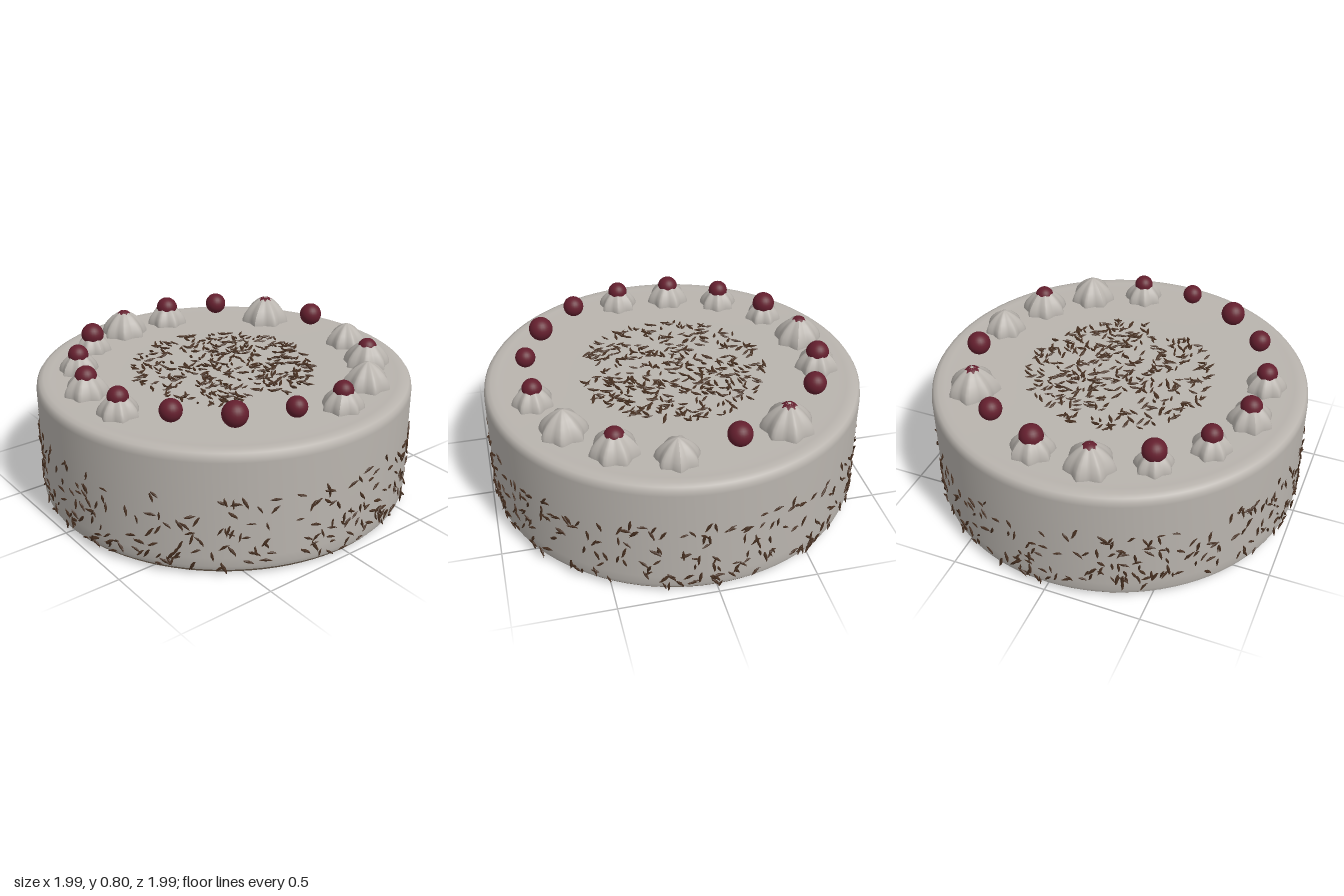
import * as THREE from 'three';
import { mergeGeometries } from 'three/addons/utils/BufferGeometryUtils.js';

const material = (name, color) => {
  const m = new THREE.MeshStandardMaterial({ color });
  m.name = name;
  return m;
};

// small seeded generator
function seeded(seed) {
  return () => {
    seed = (seed * 1664525 + 1013904223) % 4294967296;
    return seed / 4294967296;
  };
}

const lathe = (pts, segments) =>
  new THREE.LatheGeometry(pts.map(([x, y]) => new THREE.Vector2(x, y)), segments);

// seven-ridged piped dollop of unit radius and unit height
function dollopGeometry() {
  const g = lathe([[1, -0.02], [0.99, 0.12], [0.9, 0.34], [0.72, 0.56], [0.5, 0.76], [0.28, 0.9], [0.12, 0.97], [0, 1]], 56);
  const p = g.attributes.position;
  for (let i = 0; i < p.count; i++) {
    const turn = (Math.atan2(p.getX(i), p.getZ(i)) / (2 * Math.PI) + 1) * 7;
    const ridge = Math.abs((turn % 1) - 0.5) * 2;
    const f = 1 - 0.19 * (1 - 0.3 * p.getY(i)) * (1 - Math.pow(ridge, 1.3));
    p.setXYZ(i, p.getX(i) * f, p.getY(i), p.getZ(i) * f);
  }
  g.computeVertexNormals();
  return g;
}

// thin curled chocolate shaving lying along x, its face toward z
function flakeGeometry() {
  const g = new THREE.OctahedronGeometry(1, 1);
  const p = g.attributes.position;
  for (let i = 0; i < p.count; i++) {
    const x = p.getX(i);
    const taper = 1 - 0.5 * x * x;
    p.setXYZ(i, x * 0.03, p.getY(i) * 0.008 * taper + 0.004 * Math.sin(3 * x), p.getZ(i) * 0.006 * taper + 0.004 * x * x);
  }
  g.computeVertexNormals();
  return g;
}

export function createModel() {
  const cake = new THREE.Group();
  cake.name = 'cake';
  const cream = material('cream', 0xb9b4ae);
  const cherryRed = material('cherry red', 0x641f2e);
  const chocolate = material('dark chocolate', 0x462f20);
  const sponge = material('chocolate base', 0x5f432c);
  const stain = material('stained cream', 0x8c7a68);
  const add = (name, geometry, mat) => {
    const m = new THREE.Mesh(geometry, mat);
    m.name = name;
    cake.add(m);
    return m;
  };

  // cream coat with a softly rounded rim, tinted lower bevel and dark underside
  add('creamCoat', lathe([[0.975, 0.032], [0.982, 0.055], [0.983, 0.1], [0.983, 0.6], [0.979, 0.625],
    [0.967, 0.642], [0.945, 0.651], [0.91, 0.651], [0.87, 0.647], [0.5, 0.647], [0, 0.647]], 96), cream);
  add('lowerBevel', lathe([[0.936, 0], [0.958, 0.012], [0.975, 0.032]], 96), stain);
  add('underside', new THREE.CircleGeometry(0.936, 96).rotateX(Math.PI / 2), sponge);

  // ring of sixteen decorations: [dollop radius, cherry radius], 0 for none
  const ring = [[0, 0.052], [0, 0.064], [0, 0.056], [0.108, 0.053], [0.118, 0.056], [0.105, 0.053],
    [0.1, 0.061], [0.13, 0.0475], [0.115, 0.06], [0, 0.058], [0.137, 0.0535], [0, 0.061],
    [0.113, 0], [0.125, 0.051], [0.125, 0], [0.108, 0.051]];
  const dollop = dollopGeometry();
  const cherry = new THREE.SphereGeometry(1, 24, 16);
  ring.forEach(([dr, cr], k) => {
    const a = (k + 0.5) * Math.PI / 8;
    const x = 0.762 * Math.cos(a), z = 0.762 * Math.sin(a);
    if (dr) {
      const m = add('creamDollop', dollop, cream);
      m.position.set(x, 0.647, z);
      m.scale.set(dr, dr * 1.06, dr);
      m.rotation.y = k * 1.3;
    }
    if (cr) {
      const m = add('cherry', cherry, cherryRed);
      m.position.set(x, 0.737, z);
      m.scale.setScalar(cr);
    }
  });

  // chocolate shavings
  const rand = seeded(71);
  const flake = flakeGeometry();
  const place = (position, rotateOut) => {
    const g = flake.clone();
    const s = 0.75 + rand() * 0.4;
    g.scale(s, s, s);
    g.rotateX((rand() - 0.5) * 1.2).rotateY((rand() - 0.5) * 0.5);
    g.rotateZ(rand() * Math.PI * 2);
    rotateOut(g);
    return g.translate(...position);
  };

  // loose heap scattered over the middle of the top
  const topFlakes = [];
  for (let i = 0; i < 400; i++) {
    const a = rand() * Math.PI * 2, r = 0.49 * Math.sqrt(rand());
    topFlakes.push(place([r * Math.cos(a), 0.653, r * Math.sin(a)], g => g.rotateX(-Math.PI / 2)));
  }
  add('topShavings', mergeGeometries(topFlakes), chocolate);

  // band pressed around the side, thinning toward its upper edge
  const sideFlakes = [];
  for (let i = 0; i < 540; i++) {
    const a = rand() * Math.PI * 2;
    const y = 0.04 + 0.38 * Math.pow(rand(), 1.15);
    sideFlakes.push(place([0.985 * Math.sin(a), y, 0.985 * Math.cos(a)], g => g.rotateY(a)));
  }
  add('sideShavings', mergeGeometries(sideFlakes), chocolate);

  return cake;
}
